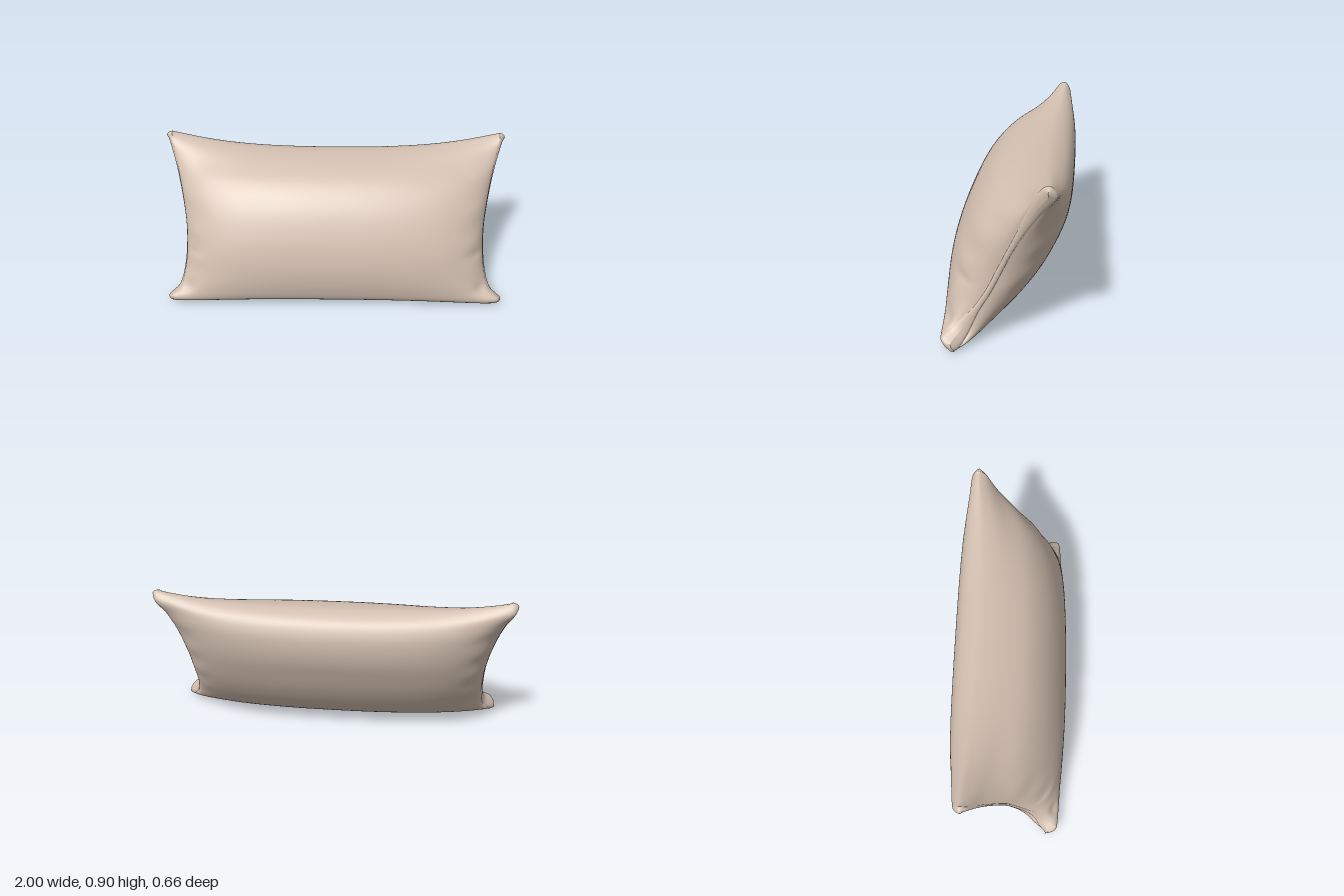
import * as THREE from 'three';

// cross-sections as [z, y], bottom to top: at mid width and at the shoulders
const MID = {
  bottom: [0.225, 0.022], top: [-0.215, 0.818],
  front: [[0.29, 0.065], [0.32, 0.15], [0.331, 0.27], [0.315, 0.39], [0.275, 0.51],
    [0.2, 0.645], [0.1, 0.745], [-0.02, 0.8], [-0.13, 0.822]],
  back: [[0.1, 0.021], [-0.01, 0.075], [-0.12, 0.18], [-0.21, 0.31], [-0.275, 0.44],
    [-0.315, 0.54], [-0.331, 0.63], [-0.325, 0.705], [-0.29, 0.775]],
};
const SHOULDER = {
  bottom: [0.24, 0.018], top: [-0.232, 0.869],
  front: [[0.3, 0.055], [0.314, 0.14], [0.3, 0.26], [0.275, 0.37], [0.23, 0.48],
    [0.15, 0.615], [0.05, 0.72], [-0.065, 0.79], [-0.165, 0.85]],
  back: [[0.13, 0.032], [0.02, 0.1], [-0.08, 0.2], [-0.17, 0.32], [-0.24, 0.45],
    [-0.285, 0.57], [-0.307, 0.68], [-0.309, 0.76], [-0.285, 0.828]],
};
// side seam, bottom corner to top corner: [x, z, y, half thickness]
const SEAM = [[0.965, 0.235, 0.006, 0], [0.965, 0.25, 0.048, 0.05], [0.92, 0.2, 0.1, 0.04],
  [0.895, 0.13, 0.2, 0.018], [0.886, 0.065, 0.305, 0.014], [0.886, 0.01, 0.42, 0.014],
  [0.898, -0.04, 0.53, 0.014], [0.918, -0.1, 0.65, 0.018], [0.942, -0.165, 0.77, 0.03],
  [0.965, -0.235, 0.876, 0.04], [0.965, -0.238, 0.908, 0]];
const FACING = new THREE.Vector3(0, 0.5, 0.87); // direction the cushion front leans towards
const CENTRE = new THREE.Vector3(0, 0.45, 0);
const AROUND = 120, ACROSS = 90, CAP = 6;

// evenly numbered points round a closed loop: bottom, up the front, top, down the back
function loop(bottom, front, top, back) {
  const curve = new THREE.CatmullRomCurve3(
    [bottom, ...front, top, ...[...back].reverse()], true, 'centripetal');
  return Array.from({ length: AROUND }, (_, j) => curve.getPoint(j / AROUND));
}

function sectionLoop({ bottom, front, top, back }) {
  const v = ([z, y]) => new THREE.Vector3(0, y, z);
  return loop(v(bottom), front.map(v), v(top), back.map(v));
}

function seamLoop() {
  const v = ([x, z, y, h], side) => new THREE.Vector3(x, y, z).addScaledVector(FACING, h * side);
  const inner = SEAM.slice(1, -1);
  return loop(v(SEAM[0], 0), inner.map(p => v(p, 1)), v(SEAM[10], 0), inner.map(p => v(p, -1)));
}

function cushionGeometry() {
  const mid = sectionLoop(MID), shoulder = sectionLoop(SHOULDER), end = seamLoop();
  const bump = (a, c, w) => Math.exp(-(((a - c) / w) ** 2));
  const position = [], index = [];

  for (let i = -CAP; i <= ACROSS + CAP; i++) {
    const t = THREE.MathUtils.clamp(i / ACROSS, 0, 1) * 2 - 1;
    const u = Math.sin(Math.abs(t) * Math.PI / 2), sign = Math.sign(t);
    const taper = (u / 0.85) ** 2.5;
    const pinch = 1 - Math.sqrt(Math.max(0, 1 - u ** 8));
    // rings past either end round over onto the seam
    const turn = Math.max(-i, i - ACROSS, 0) / CAP * Math.PI / 2;
    for (let j = 0; j < AROUND; j++) {
      const angle = j / AROUND * Math.PI * 2;
      const corner = Math.abs(Math.cos(angle)) ** 8;
      const e = end[j].clone();
      const seam = e.clone().lerp(end[(AROUND - j) % AROUND], 0.5);
      const x = seam.x;
      seam.lerp(CENTRE, 0.05 * corner).setX(x);
      e.lerp(seam, 1 - Math.cos(turn));
      e.x += Math.sin(turn) * (0.008 + 0.027 * corner);

      const p = mid[j].clone().lerp(shoulder[j], taper).lerp(e, pinch);
      p.x = sign * u * e.x;
      // soft gathers, a tuck beside the seam and a crease above the bottom corner
      const s = (1 - Math.cos(angle)) / 2, side = Math.sin(angle);
      const gather = 0.005 * Math.sin(s * 30 + sign) * bump(u, 0.93, 0.08);
      const tuck = side > 0 ? -0.015 * bump(s, 0.345, 0.025) * bump(u, 0.95, 0.06) : 0;
      const crease = side > 0 ? -0.03 * bump(s, 0.11, 0.035) * bump(u, 0.96, 0.05) : 0;
      p.addScaledVector(FACING, (gather * side + tuck + crease) * (1 - u ** 16));
      position.push(p.x, Math.max(p.y, 0.003), p.z);
    }
  }
  for (let i = 0; i < ACROSS + 2 * CAP; i++) {
    for (let j = 0; j < AROUND; j++) {
      const k = (j + 1) % AROUND;
      const a = i * AROUND + j, b = a + AROUND, c = (i + 1) * AROUND + k, d = i * AROUND + k;
      index.push(a, b, c, a, c, d);
    }
  }
  const g = new THREE.BufferGeometry();
  g.setAttribute('position', new THREE.Float32BufferAttribute(position, 3));
  g.setIndex(index);
  g.translate(0, -0.003, 0);
  g.computeVertexNormals();
  return g;
}

export function createModel() {
  const group = new THREE.Group();
  group.name = 'throwPillow';
  const fabric = new THREE.MeshStandardMaterial({ color: 0xd2bfb0 });
  fabric.name = 'beige fabric';
  const cushion = new THREE.Mesh(cushionGeometry(), fabric);
  cushion.name = 'cushion';
  group.add(cushion);
  return group;
}
